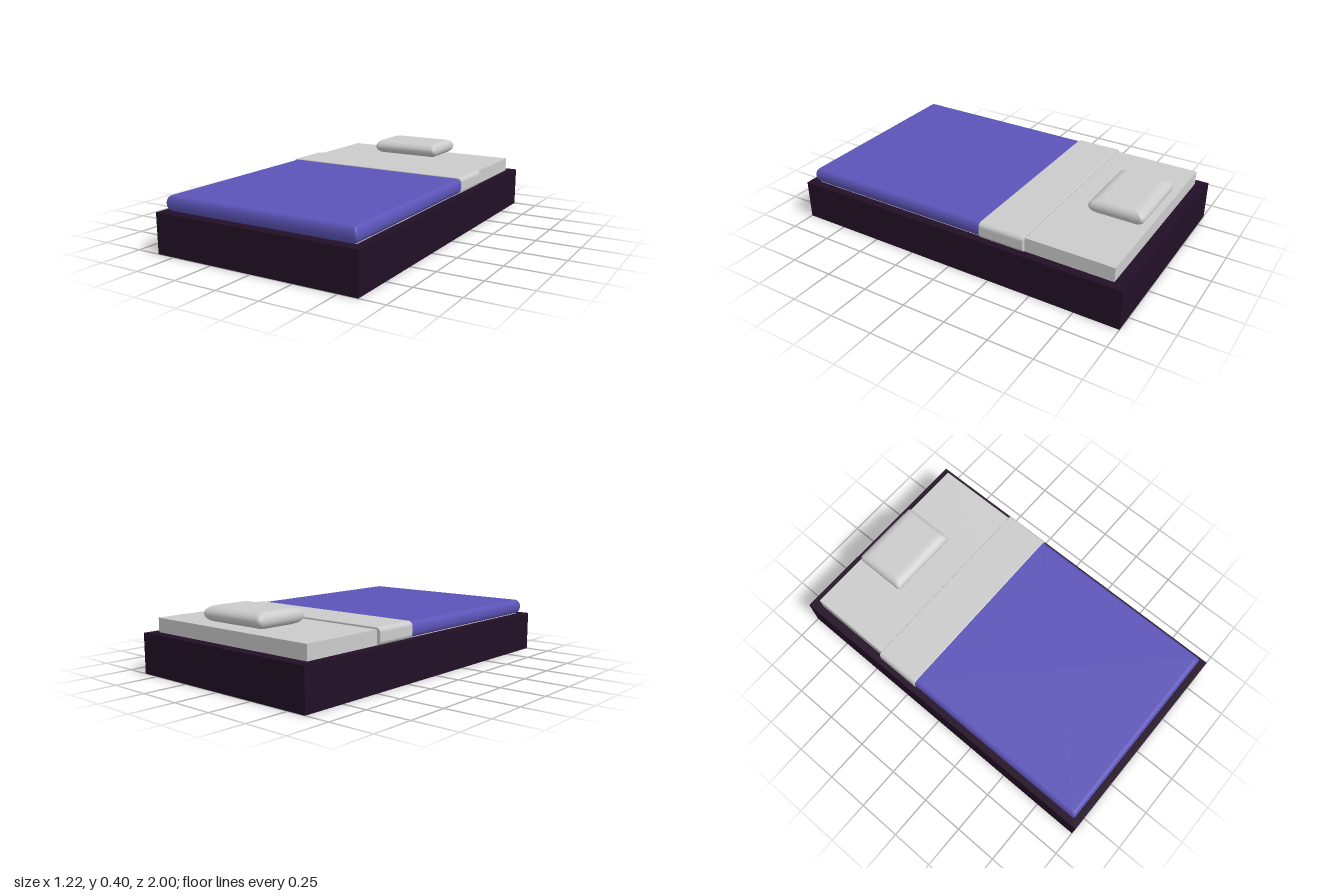
import * as THREE from 'three';

// Soft box lofted from rounded-rectangle rings; ix / iz: how far the rolled edge reaches inward
function softBox([x0, x1], [y0, y1], [z0, z1], ix, iz, corner) {
  const hx = (x1 - x0) / 2, hy = (y1 - y0) / 2, hz = (z1 - z0) / 2;
  const steps = 16, arc = 6, n = 4 * (arc + 1);
  const pos = [], idx = [];
  const ring = (w, d, y, r) => {
    for (let q = 0; q < 4; q++) {
      const sx = q === 0 || q === 3 ? 1 : -1, sz = q < 2 ? 1 : -1;
      for (let i = 0; i <= arc; i++) {
        const a = (q + i / arc) * Math.PI / 2;
        pos.push(sx * (w - r) + r * Math.cos(a), y, sz * (d - r) + r * Math.sin(a));
      }
    }
  };
  // small inner rings keep the flat faces evenly shaded
  const flat = 0.006;
  ring(hx - ix - flat, hz - iz - flat, -hy, corner);
  for (let s = 0; s <= steps; s++) {
    const t = -Math.PI / 2 + Math.PI * s / steps, k = 1 - Math.cos(t);
    ring(hx - ix * k, hz - iz * k, hy * Math.sin(t), corner);
  }
  ring(hx - ix - flat, hz - iz - flat, hy, corner);
  const rings = steps + 3;
  for (let s = 0; s < rings - 1; s++) {
    for (let i = 0; i < n; i++) {
      const a = s * n + i, b = s * n + (i + 1) % n;
      idx.push(a, a + n, b, b, a + n, b + n);
    }
  }
  // bottom and top caps
  const top = (rings - 1) * n, c = rings * n;
  pos.push(0, -hy, 0, 0, hy, 0);
  for (let i = 0; i < n; i++) {
    const j = (i + 1) % n;
    idx.push(c, i, j, c + 1, top + j, top + i);
  }
  const g = new THREE.BufferGeometry();
  g.setAttribute('position', new THREE.Float32BufferAttribute(pos, 3));
  g.setIndex(idx);
  g.computeVertexNormals();
  g.translate((x0 + x1) / 2, (y0 + y1) / 2, (z0 + z1) / 2);
  return g;
}

// Cover with upright sides and rounded edges along its length and ends
function coverSheet([x0, x1], [y0, y1], [z0, z1], r, bevel) {
  const hx = (x1 - x0) / 2 - bevel, hy = (y1 - y0) / 2 - bevel;
  const s = new THREE.Shape();
  s.absarc(hx - r, hy - r, r, 0, Math.PI / 2);
  s.absarc(-hx + r, hy - r, r, Math.PI / 2, Math.PI);
  s.absarc(-hx + r, -hy + r, r, Math.PI, Math.PI * 1.5);
  s.absarc(hx - r, -hy + r, r, Math.PI * 1.5, Math.PI * 2);
  const g = new THREE.ExtrudeGeometry(s, {
    depth: z1 - z0 - 2 * bevel, curveSegments: 8,
    bevelSize: bevel, bevelThickness: bevel, bevelSegments: 4,
  });
  g.translate((x0 + x1) / 2, (y0 + y1) / 2, z0 + bevel);
  return g;
}

function box([x0, x1], [y0, y1], [z0, z1]) {
  return new THREE.BoxGeometry(x1 - x0, y1 - y0, z1 - z0)
    .translate((x0 + x1) / 2, (y0 + y1) / 2, (z0 + z1) / 2);
}

export function createModel() {
  const group = new THREE.Group();
  const grey = new THREE.MeshStandardMaterial({ color: 0xcccccc });
  const wood = new THREE.MeshStandardMaterial({ color: 0x220f26 });
  const blue = new THREE.MeshStandardMaterial({ color: 0x5c54b8 });
  const add = (name, geometry, material) => {
    const mesh = new THREE.Mesh(geometry, material);
    mesh.name = name;
    group.add(mesh);
  };

  // solid base and the mattress resting on it
  add('bedBase', box([-0.608, 0.608], [0, 0.226], [-1, 1]), wood);
  add('mattress', box([-0.56, 0.56], [0.226, 0.306], [-0.935, 0.935]), grey);
  // blanket with rolled edges, and the sheet folded back over its upper end
  add('blanket', softBox([-0.576, 0.576], [0.227, 0.311], [-0.2, 0.96], 0.026, 0.022, 0.012), blue);
  add('foldedSheet', coverSheet([-0.58, 0.58], [0.224, 0.317], [-0.443, -0.178], 0.02, 0.005), grey);
  // pillow, a little off centre
  add('pillow', softBox([-0.228, 0.202], [0.32, 0.404], [-0.917, -0.605], 0.042, 0.06, 0.02), grey);
  return group;
}
